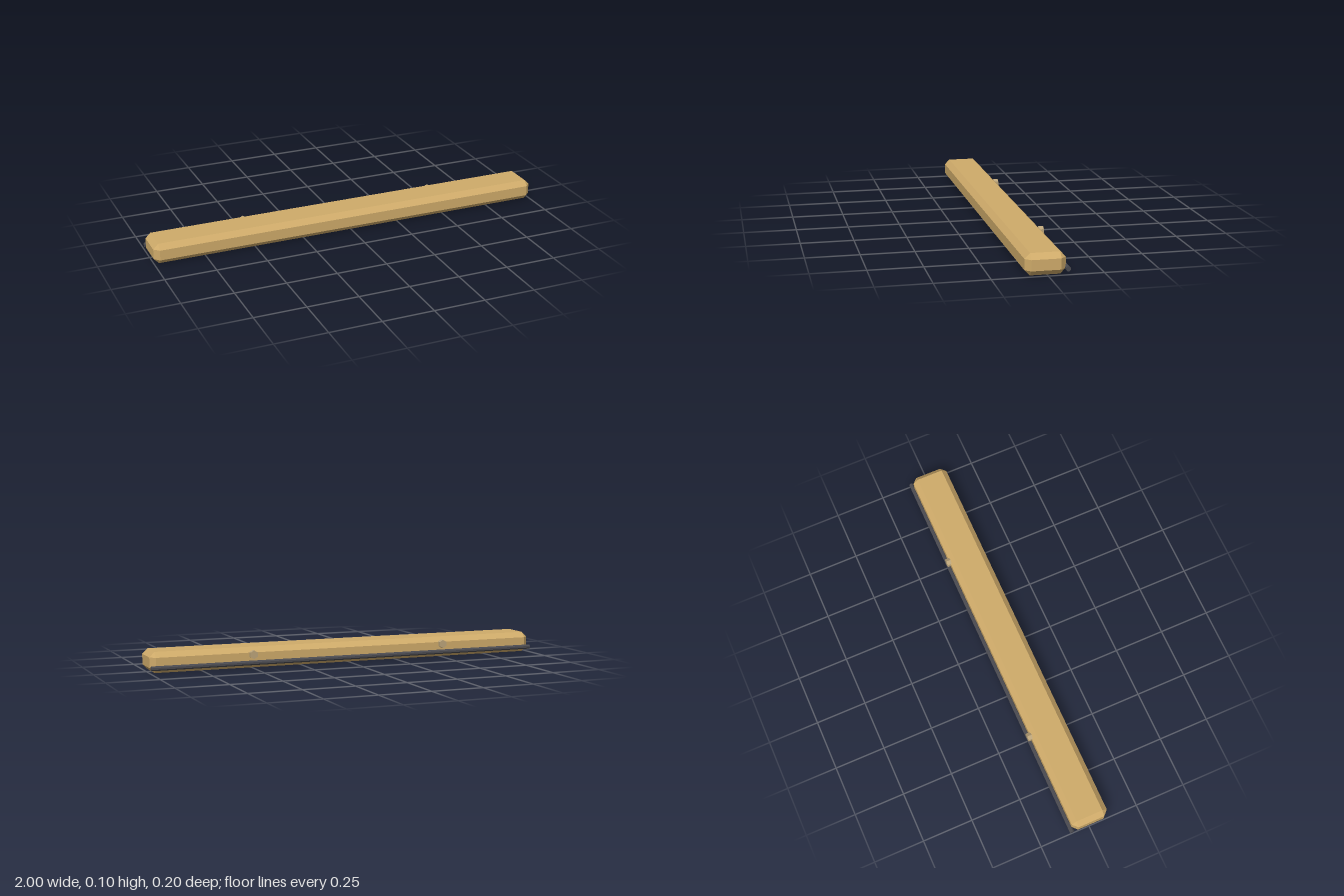
import * as THREE from 'three';
import { ConvexGeometry } from 'three/addons/geometries/ConvexGeometry.js';

const material = (name, color) => {
  const m = new THREE.MeshStandardMaterial({ color, flatShading: true });
  m.name = name;
  return m;
};

// Box with every edge and corner cut by c
function chamferedBox(hx, hy, hz, c) {
  const points = [];
  for (const sx of [-1, 1]) for (const sy of [-1, 1]) for (const sz of [-1, 1]) {
    points.push(
      new THREE.Vector3(sx * hx, sy * (hy - c), sz * (hz - c)),
      new THREE.Vector3(sx * (hx - c), sy * hy, sz * (hz - c)),
      new THREE.Vector3(sx * (hx - c), sy * (hy - c), sz * hz));
  }
  return new ConvexGeometry(points);
}

export function createModel() {
  const model = new THREE.Group();
  const tan = material('tan', 0xcfab6a);
  const paleTan = material('pale tan', 0xbca57a);
  const darkGrey = material('dark grey', 0x4a4a50);

  const add = (name, geometry, mat, x, y, z) => {
    const mesh = new THREE.Mesh(geometry, mat);
    mesh.name = name;
    mesh.position.set(x, y, z);
    model.add(mesh);
    return mesh;
  };

  // Long chamfered bar
  add('body', chamferedBox(1, 0.05, 0.0915, 0.025), tan, 0, 0.05, 0.0085);

  // Rod running the full length along the back
  const rodGeometry = new THREE.CylinderGeometry(0.0114, 0.0114, 2, 8);
  rodGeometry.rotateY(Math.PI / 8);
  rodGeometry.rotateZ(Math.PI / 2);
  add('backRod', rodGeometry, darkGrey, 0, 0.026, -0.0895);

  // Two hexagonal studs on the back, points up and down
  const studGeometry = new THREE.CylinderGeometry(0.021, 0.021, 0.023, 6);
  studGeometry.rotateX(Math.PI / 2);
  for (const side of [-1, 1]) {
    add(side > 0 ? 'leftStud' : 'rightStud', studGeometry, paleTan, side * 0.5, 0.066, -0.0885);
  }
  return model;
}
